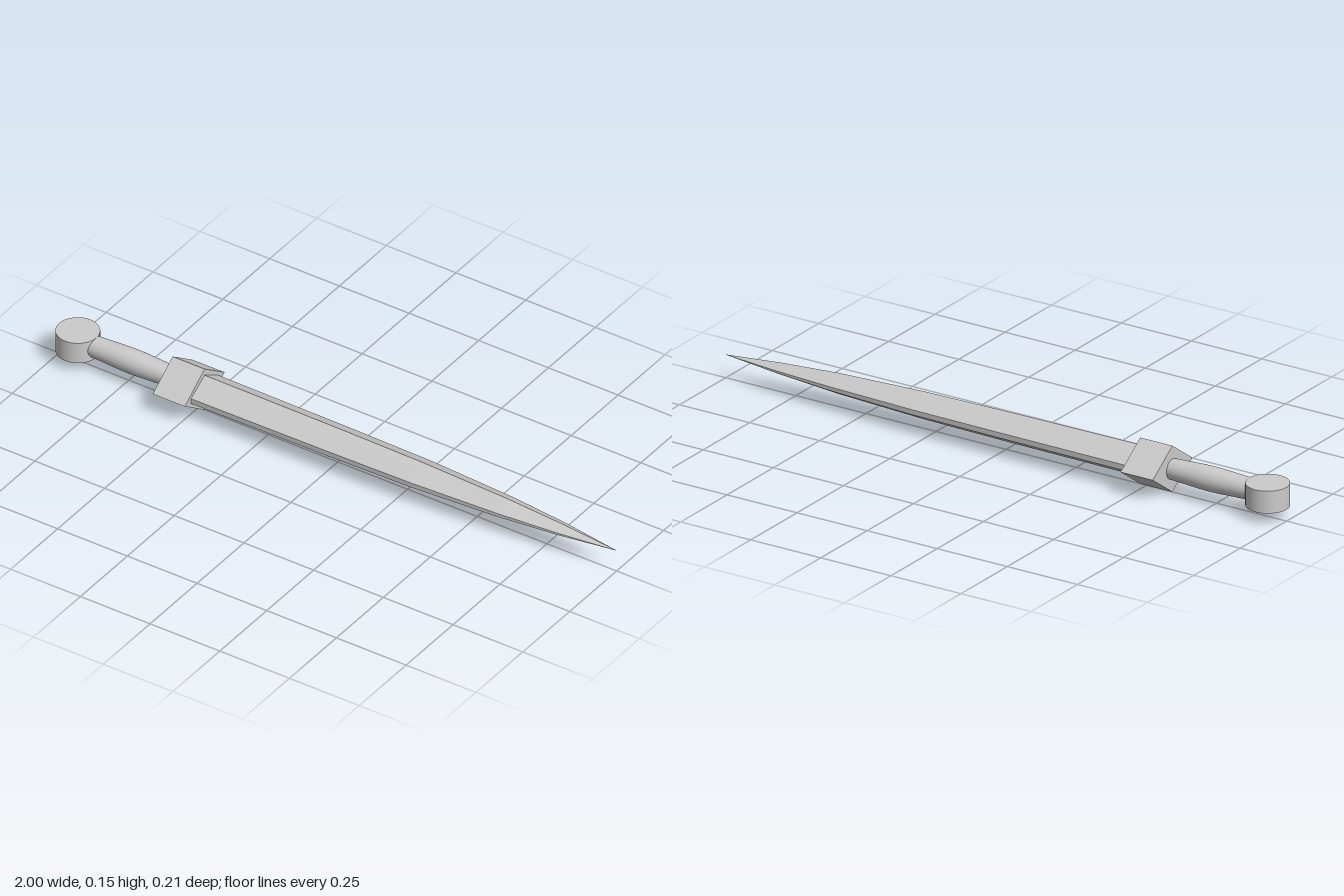
import * as THREE from 'three';

const MID = 0.0745; // height of the long axis
const smooth = () => new THREE.MeshStandardMaterial({ color: 0xcccccc });
const flat = () => new THREE.MeshStandardMaterial({ color: 0xcccccc, flatShading: true });

function add(group, name, geometry, material) {
  const mesh = new THREE.Mesh(geometry, material);
  mesh.name = name;
  group.add(mesh);
  return mesh;
}

// Hexagonal section: ridges above and below, narrow flat cutting edges
function section(x, halfWidth, halfHeight, edge) {
  return [[halfHeight, 0], [edge, halfWidth], [-edge, halfWidth],
    [-halfHeight, 0], [-edge, -halfWidth], [edge, -halfWidth]].map(([y, z]) => [x, y, z]);
}

function bladeGeometry() {
  // x, half width, half height, half thickness of the cutting edge
  const rings = [
    [-0.5, 0.073, 0.052, 0.009],
    [0, 0.069, 0.049, 0.0085],
    [0.3, 0.064, 0.045, 0.008],
    [0.6, 0.048, 0.034, 0.006],
    [0.8, 0.029, 0.02, 0.0035],
    [1, 0.0004, 0.0004, 0.0001],
  ].map((r) => section(...r));
  const positions = [];
  const tri = (a, b, c) => positions.push(...a, ...b, ...c);
  for (let i = 0; i < rings.length - 1; i++) {
    for (let j = 0; j < 6; j++) {
      const k = (j + 1) % 6;
      const a = rings[i][j], b = rings[i][k], c = rings[i + 1][k], d = rings[i + 1][j];
      tri(a, b, c);
      tri(a, c, d);
    }
  }
  // Close both ends
  const first = rings[0], last = rings[rings.length - 1];
  for (let j = 1; j < 5; j++) {
    tri(first[0], first[j + 1], first[j]);
    tri(last[0], last[j], last[j + 1]);
  }
  const geometry = new THREE.BufferGeometry();
  geometry.setAttribute('position', new THREE.Float32BufferAttribute(positions, 3));
  geometry.computeVertexNormals();
  return geometry;
}

export function createModel() {
  const model = new THREE.Group();
  model.name = 'sword';

  add(model, 'blade', bladeGeometry(), flat()).position.y = MID;

  // Diamond-shaped guard, a four-sided prism along x
  const guard = new THREE.CylinderGeometry(1, 1, 0.115, 4);
  guard.rotateZ(Math.PI / 2);
  guard.scale(1, MID, 0.106);
  add(model, 'guard', guard, flat()).position.set(-0.5355, MID, 0);

  // Grip with a gentle swell, turned around x
  const curve = new THREE.SplineCurve([
    [0.032, -0.93], [0.034, -0.86], [0.0385, -0.74], [0.036, -0.66], [0.031, -0.57],
  ].map(([r, x]) => new THREE.Vector2(r, x)));
  const grip = new THREE.LatheGeometry(curve.getPoints(16), 32);
  grip.rotateZ(-Math.PI / 2);
  add(model, 'grip', grip, smooth()).position.y = MID;

  // Upright disc pommel
  const pommel = new THREE.CylinderGeometry(0.067, 0.067, 0.072, 40);
  add(model, 'pommel', pommel, smooth()).position.set(-0.933, 0.073, 0);

  return model;
}
